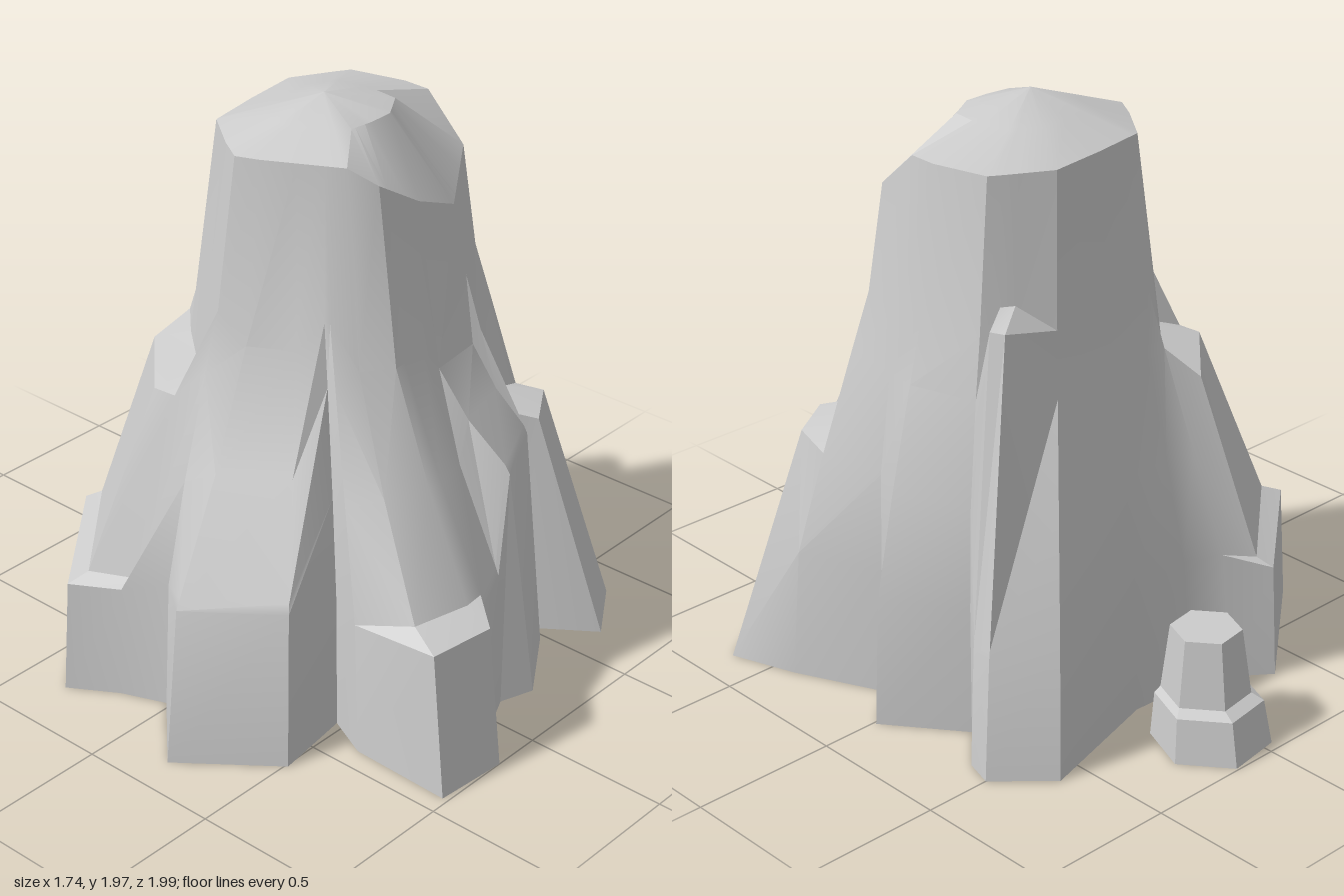
import * as THREE from 'three';
import { toCreasedNormals } from 'three/addons/utils/BufferGeometryUtils.js';

const material = new THREE.MeshStandardMaterial({ color: 0xcccccc, side: THREE.DoubleSide });

// Skin a stack of closed rings (bottom to top) and close it with an apex; the bottom stays open.
function loft(name, rings, apex, crease) {
  const n = rings[0].length;
  const index = [];
  rings.forEach((_, j) => {
    for (let i = 0; i < n; i++) {
      const a = j * n + i;
      const b = j * n + ((i + 1) % n);
      if (j === rings.length - 1) index.push(a, b, rings.length * n);
      else index.push(a, b, b + n, a, b + n, a + n);
    }
  });
  const geo = new THREE.BufferGeometry();
  geo.setAttribute('position', new THREE.Float32BufferAttribute([...rings.flat(2), ...apex], 3));
  geo.setIndex(index);
  const mesh = new THREE.Mesh(toCreasedNormals(geo, crease), material);
  mesh.name = name;
  return mesh;
}

// Summit rim in plan [x, z]; a sloping plane cuts its front left corner down
const rim = [
  [-0.10, 0.37], [0.25, 0.41], [0.50, 0.25], [0.51, -0.08], [0.46, -0.20],
  [0.26, -0.31], [-0.15, -0.24], [-0.30, 0],
];
const rimHeight = (x, z) => Math.min(1.85, 2.3 - 0.444 * x - 1.444 * z);
const peak = [0.05, 1.97, 0.05];

// Where the direction (dx, dz) from the axis meets the rim, as a radius
function rimRadius(dx, dz) {
  for (let i = 0; i < rim.length; i++) {
    const p = rim[i], q = rim[(i + 1) % rim.length];
    const cp = p[0] * dz - p[1] * dx, cq = q[0] * dz - q[1] * dx;
    const u = cp / (cp - cq);
    const along = (p[0] + (q[0] - p[0]) * u) * dx + (p[1] + (q[1] - p[1]) * u) * dz;
    if (u >= 0 && u <= 1 && along > 0) return along;
  }
  return 0.4;
}

// Profiles: [height, share of the way from the foot in to the core]
const slope = () => [[0.45, 0.2], [0.8, 0.6], [1.15, 0.88], [1.35, 1]];
// A ledge at height y, then a slope joining the core at height meet
function ledge(y, t, step, meet) {
  const inner = t + step;
  return [[y, t], [y + 0.03, inner], [(y + meet) / 2, 0.6 + 0.4 * inner], [meet, 1]];
}
// A tall slab standing off the core up to height y, with a low step
const slab = (y, t, step) => [[0.4, t], [0.43, t + step], [y - 0.04, 0.7], [y, 1]];

// Ridges and hollows around the foot, as profile and plan points: front, left, back, right
const ridges = [
  // front toe, and the hollow beside it
  [ledge(0.48, 0.16, 0.25, 1.2), [-0.43, 0.98], [-0.17, 1.0]],
  [ledge(0.48, 0.12, 0.05, 1.2), [-0.07, 0.87], [0.1, 0.79]],
  // front buttress, notch and left corner pillar
  [ledge(0.8, 0.35, 0.05, 1.12), [0.22, 0.83], [0.48, 0.66]],
  [slope(), [0.49, 0.57]],
  [ledge(0.83, 0.58, 0.3, 1.22), [0.65, 0.79], [0.87, 0.65]],
  // left flank, rib and groove
  [slope(), [0.79, 0.42], [0.65, 0.12], [0.8, -0.01], [0.61, -0.26]],
  // back left pillar
  [slab(1.44, 0.2, 0.03), [0.74, -0.4], [0.77, -0.5]],
  // back wall
  [slope(), [0.6, -0.66], [0.13, -0.53], [-0.1, -0.54], [-0.24, -0.6]],
  // stepped slab, then a groove
  [slab(1.09, 0.06, 0.18), [-0.36, -0.69], [-0.8, -0.33], [-0.7, -0.17]],
  [slope(), [-0.64, -0.02]],
  // right buttress, then a groove
  [ledge(0.53, 0.18, 0.05, 1.25), [-0.87, 0.21], [-0.63, 0.51]],
  [slope(), [-0.35, 0.47], [-0.42, 0.62]],
];

// One upright line of the cliff, from foot to summit
function column([x, z], profile) {
  const r = Math.hypot(x, z), dx = x / r, dz = z / r;
  const topR = rimRadius(dx, dz);
  const top = [dx * topR, rimHeight(dx * topR, dz * topR), dz * topR];
  const spread = 0.4 - 0.15 * dx;
  const wall = profile.map(([y, t]) => {
    const core = Math.min(r, topR * (1 + spread * (top[1] - y)));
    const d = r + (core - r) * t;
    return [dx * d, y, dz * d];
  });
  return [[x, 0, z], ...wall, top, [(top[0] + peak[0]) / 2, 1.91, (top[2] + peak[2]) / 2]];
}

function createCliff() {
  const columns = ridges.flatMap(([profile, ...foot]) => foot.map((p) => column(p, profile)));
  const rings = columns[0].map((_, j) => columns.map((c) => c[j]));
  return loft('cliff', rings, peak, 0.45);
}

// Small two-step stone behind the cliff
function createStone() {
  const ring = (y, radius, z) => Array.from({ length: 6 }, (_, i) => {
    const a = 1.95 - (i * Math.PI) / 3;
    return [0.08 + radius * Math.cos(a), y, z + radius * Math.sin(a)];
  });
  const rings = [ring(0, 0.195, -0.812), ring(0.15, 0.175, -0.8), ring(0.17, 0.145, -0.785), ring(0.395, 0.115, -0.78)];
  return loft('smallStone', rings, [0.08, 0.395, -0.78], 0.3);
}

export function createModel() {
  const model = new THREE.Group();
  model.name = 'rockFormation';
  model.add(createCliff(), createStone());
  return model;
}
